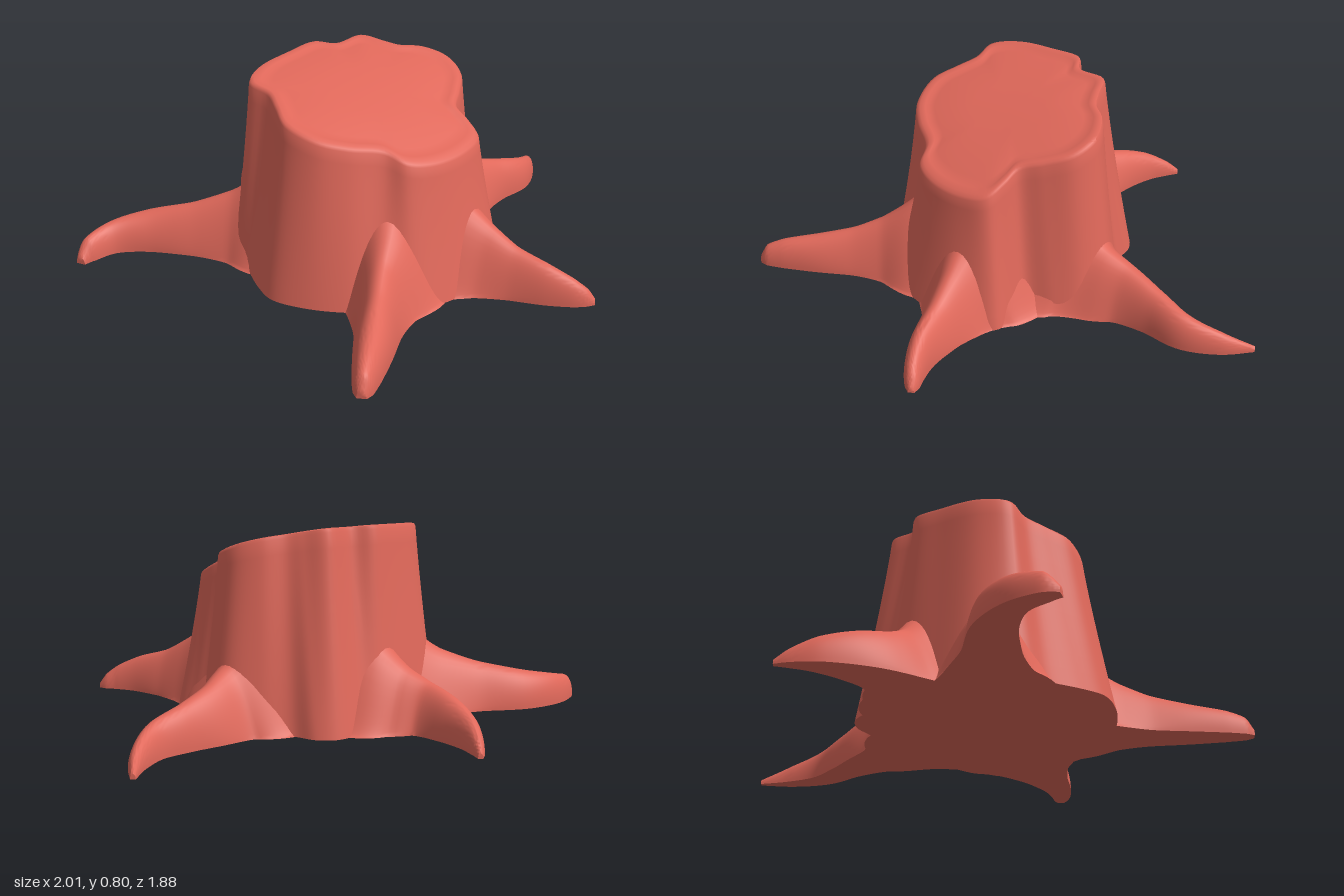
import * as THREE from 'three';
import { toCreasedNormals } from 'three/addons/utils/BufferGeometryUtils.js';

const material = new THREE.MeshStandardMaterial({ color: 0xe0685a });

// Skin a list of closed rings; both ends are closed with a fan to their middle.
function loft(rings, start, end) {
  const n = rings[0].length;
  const points = [...rings.flat(), start, end];
  const index = [];
  const last = (rings.length - 1) * n;
  for (let j = 0; j < n; j++) {
    const k = (j + 1) % n;
    for (let i = 0; i < rings.length - 1; i++) {
      const a = i * n + j, b = i * n + k;
      index.push(a, b, a + n, b, b + n, a + n);
    }
    index.push(points.length - 2, k, j, points.length - 1, last + j, last + k);
  }
  const geometry = new THREE.BufferGeometry().setFromPoints(points);
  geometry.setIndex(index);
  return toCreasedNormals(geometry, 0.9);
}

const v = (x, y, z) => new THREE.Vector3(x, y, z);

// Trunk outlines as [x, z] pairs, at the cut and at the ground
const rim = [
  [0.29, 0.03], [0.26, 0.13], [0.165, 0.2], [0.085, 0.25], [0.07, 0.32], [0.04, 0.395],
  [-0.075, 0.42], [-0.235, 0.4], [-0.33, 0.35], [-0.365, 0.27], [-0.475, 0.19], [-0.555, 0.1],
  [-0.58, -0.03], [-0.53, -0.13], [-0.49, -0.21], [-0.49, -0.31], [-0.385, -0.37], [-0.21, -0.38],
  [-0.075, -0.37], [-0.02, -0.3], [0.11, -0.28], [0.15, -0.19], [0.18, -0.13], [0.25, -0.07],
];
const foot = [
  [0.38, 0.04], [0.34, 0.16], [0.25, 0.235], [0.15, 0.29], [0.14, 0.37], [0.12, 0.46],
  [-0.06, 0.52], [-0.26, 0.5], [-0.4, 0.45], [-0.49, 0.36], [-0.58, 0.26], [-0.66, 0.12],
  [-0.695, -0.02], [-0.66, -0.13], [-0.6, -0.25], [-0.57, -0.36], [-0.43, -0.46], [-0.23, -0.47],
  [-0.03, -0.45], [0.06, -0.42], [0.19, -0.38], [0.24, -0.31], [0.25, -0.21], [0.32, -0.1],
];

// Height of the slanted cut
const cutHeight = (x, z) => 0.745 - 0.32 * z - 0.25 * z * z + 0.08 * (x - 0.2);

function outline(pairs) {
  const curve = new THREE.CatmullRomCurve3(pairs.map(([x, z]) => v(x, 0, z)), true);
  return Array.from({ length: 144 }, (_, i) => curve.getPoint(i / 144));
}

function trunkGeometry() {
  const top = outline(rim), base = outline(foot);
  const cx = -0.15, cz = 0;
  const rings = [];
  // Cut face: flat middle, shallow groove, rounded rim
  for (const [s, drop] of [[0.4, 0.006], [0.8, 0.006], [0.86, 0.01], [0.9, 0.003], [0.96, 0.002], [0.99, 0.006]]) {
    rings.push(top.map((p) => {
      const x = cx + (p.x - cx) * s, z = cz + (p.z - cz) * s;
      return v(x, cutHeight(x, z) - drop, z);
    }));
  }
  // Sides, spreading slightly toward the ground
  for (const t of [0.025, 0.1, 0.25, 0.4, 0.55, 0.7, 0.8, 0.9, 1]) {
    const spread = Math.pow(t, 1.15);
    rings.push(top.map((p, i) => {
      const q = p.clone().lerp(base[i], spread);
      q.y = cutHeight(p.x, p.z) * (1 - t);
      return q;
    }));
  }
  return loft(rings, v(cx, cutHeight(cx, cz) - 0.006, cz), v(cx, 0, cz));
}

// Roots: stations of [x, z, half width, height] running outward
const roots = {
  leftRoot: [[0.1, 0.03, 0.32, 0.42], [0.24, 0.03, 0.25, 0.35], [0.35, 0.04, 0.165, 0.265], [0.46, 0.035, 0.11, 0.215],
    [0.6, 0.05, 0.072, 0.17], [0.75, 0.07, 0.055, 0.13], [0.89, 0.025, 0.035, 0.08], [1, -0.047, 0.01, 0.02]],
  backRoot: [[-0.1, -0.25, 0.28, 0.44], [-0.11, -0.4, 0.24, 0.34], [-0.125, -0.5, 0.165, 0.245], [-0.13, -0.6, 0.105, 0.195],
    [-0.085, -0.73, 0.075, 0.16], [-0.02, -0.84, 0.048, 0.115], [0.05, -0.91, 0.025, 0.06], [0.09, -0.94, 0.01, 0.02]],
  backRightRoot: [[-0.3, -0.2, 0.3, 0.44], [-0.41, -0.34, 0.24, 0.34], [-0.48, -0.45, 0.16, 0.25], [-0.58, -0.58, 0.105, 0.19],
    [-0.7, -0.73, 0.08, 0.15], [-0.83, -0.81, 0.052, 0.12], [-0.95, -0.815, 0.038, 0.09], [-1, -0.8, 0.02, 0.03]],
  frontRightRoot: [[-0.3, 0.23, 0.28, 0.44], [-0.41, 0.32, 0.22, 0.33], [-0.52, 0.39, 0.13, 0.235], [-0.62, 0.46, 0.09, 0.18],
    [-0.75, 0.55, 0.072, 0.14], [-0.87, 0.63, 0.052, 0.11], [-0.93, 0.67, 0.036, 0.08], [-0.955, 0.685, 0.018, 0.03]],
  frontRoot: [[-0.06, 0.25, 0.28, 0.44], [-0.06, 0.41, 0.23, 0.34], [-0.04, 0.53, 0.14, 0.25], [-0.02, 0.64, 0.09, 0.185],
    [0.01, 0.77, 0.058, 0.145], [0.05, 0.86, 0.04, 0.1], [0.08, 0.905, 0.028, 0.06], [0.095, 0.93, 0.012, 0.02]],
};

function rootGeometry(stations) {
  const path = new THREE.CatmullRomCurve3(stations.map(([x, z]) => v(x, 0, z)));
  const size = new THREE.CatmullRomCurve3(stations.map(([, , w, h]) => v(w, h, 0)));
  const steps = 48, arch = 28;
  const rings = [];
  for (let i = 0; i <= steps; i++) {
    const t = i / steps;
    const c = path.getPoint(t), d = path.getTangent(t), s = size.getPoint(t);
    // Bell-shaped where it merges with the trunk, round toward the tip
    const power = THREE.MathUtils.lerp(3, 0.9, THREE.MathUtils.smoothstep(t, 0.1, 0.65));
    const ring = [];
    for (let j = 0; j <= arch; j++) {
      const angle = Math.PI * j / arch;
      const side = -Math.cos(angle) * s.x;
      const y = s.y * Math.pow(Math.max(0, Math.sin(angle)), power);
      ring.push(v(c.x - d.z * side, y, c.z + d.x * side));
    }
    rings.push(ring);
  }
  const a = stations[0], b = stations[stations.length - 1];
  return loft(rings, v(a[0], 0, a[1]), v(b[0], b[3] * 0.4, b[1]));
}

export function createModel() {
  const stump = new THREE.Group();
  stump.name = 'treeStump';
  const add = (name, geometry) => {
    const mesh = new THREE.Mesh(geometry, material);
    mesh.name = name;
    stump.add(mesh);
  };
  add('trunk', trunkGeometry());
  for (const [name, stations] of Object.entries(roots)) add(name, rootGeometry(stations));
  return stump;
}
